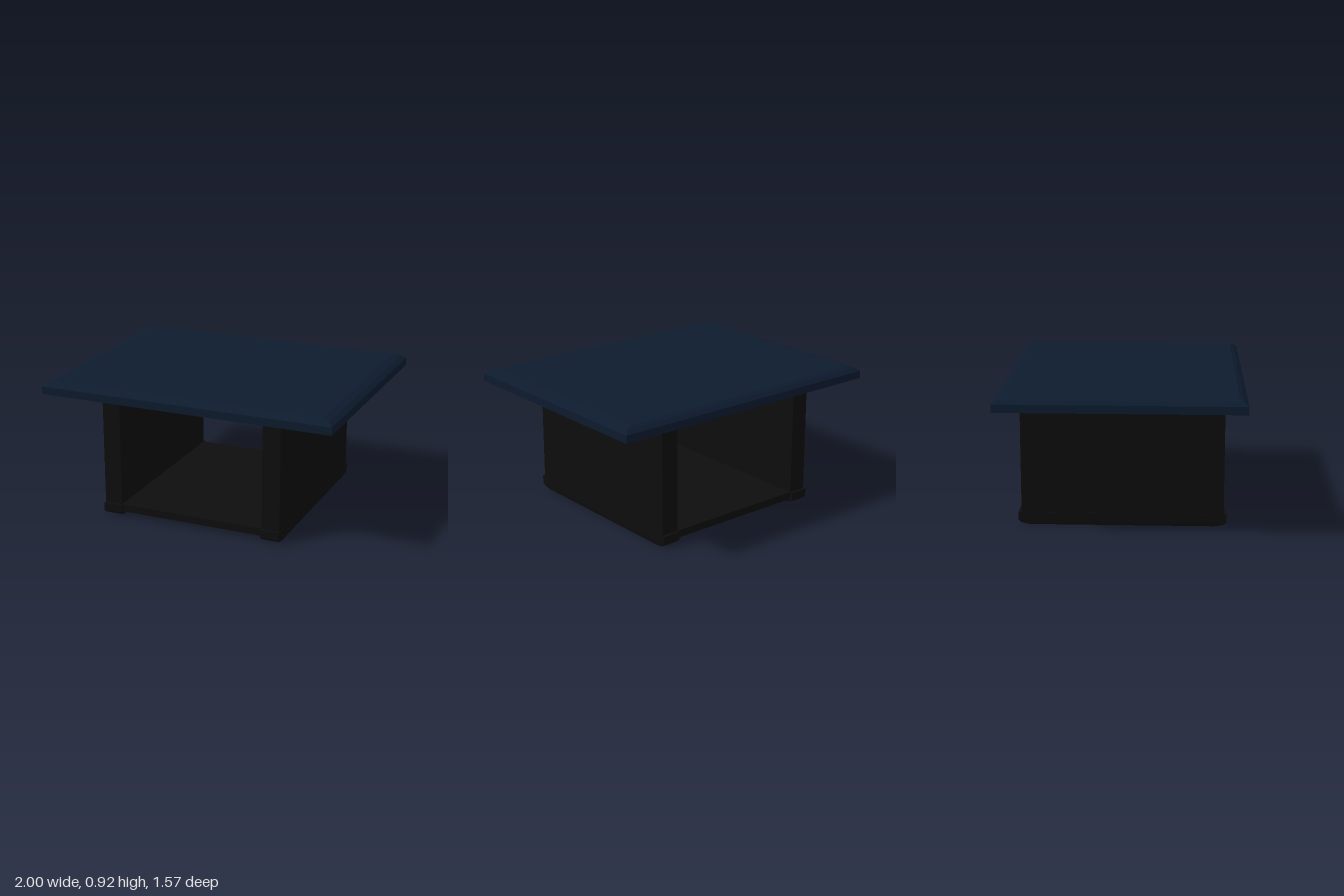
import * as THREE from 'three';

const navy = new THREE.MeshStandardMaterial({ color: 0x0d1b2e });
const black = new THREE.MeshStandardMaterial({ color: 0x0d0d0d });

// Closed solid through stacked rectangles, each [halfX, halfZ, y], bottom to top
function stackedSlab(levels) {
  const rings = levels.map(([a, b, y]) => [[-a, y, b], [a, y, b], [a, y, -b], [-a, y, -b]]);
  const pos = [];
  const quad = (a, b, c, d) => pos.push(...a, ...b, ...c, ...a, ...c, ...d);
  for (let i = 0; i < rings.length - 1; i++) {
    for (let k = 0; k < 4; k++) {
      const n = (k + 1) % 4;
      quad(rings[i][k], rings[i][n], rings[i + 1][n], rings[i + 1][k]);
    }
  }
  quad(...rings[rings.length - 1]);
  quad(...rings[0].slice().reverse());
  const geo = new THREE.BufferGeometry();
  geo.setAttribute('position', new THREE.Float32BufferAttribute(pos, 3));
  geo.computeVertexNormals();
  return geo;
}

export function createModel() {
  const group = new THREE.Group();
  const add = (name, geo, mat, x = 0, y = 0, z = 0) => {
    const mesh = new THREE.Mesh(geo, mat);
    mesh.name = name;
    mesh.position.set(x, y, z);
    group.add(mesh);
  };

  // Top with an eased upper edge
  add('tableTop', stackedSlab([
    [1, 0.785, 0.833], [1, 0.785, 0.885], [0.97, 0.757, 0.907], [0.92, 0.73, 0.92],
  ]), navy);

  // Thick side panels, each standing on a slightly longer foot rail
  const panel = new THREE.BoxGeometry(0.122, 0.78, 1.31);
  const foot = stackedSlab([
    [0.057, 0.6, 0], [0.061, 0.655, 0.012], [0.0635, 0.675, 0.03], [0.0635, 0.675, 0.083],
  ]);
  for (const [side, s] of [['left', 1], ['right', -1]]) {
    add(side + 'Panel', panel, black, s * 0.563, 0.445);
    add(side + 'Foot', foot, black, s * 0.563);
  }

  // Low shelf between the panels
  add('lowerShelf', new THREE.BoxGeometry(1.02, 0.05, 1.31), black, 0, 0.059);

  return group;
}
